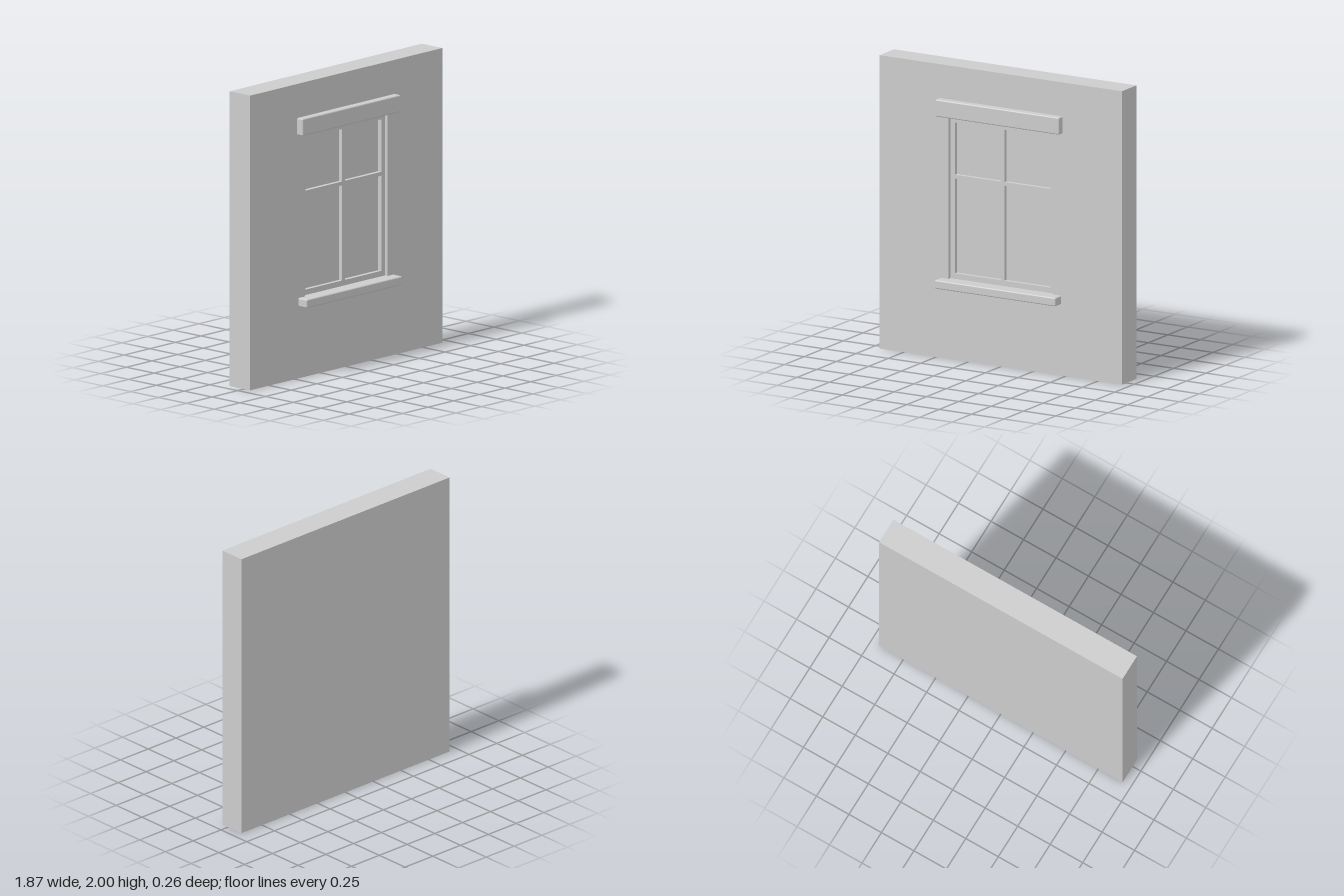
import * as THREE from 'three';
import { RoundedBoxGeometry } from 'three/addons/geometries/RoundedBoxGeometry.js';

export function createModel() {
  const group = new THREE.Group();
  const plaster = new THREE.MeshStandardMaterial({ color: 0xcccccc });
  plaster.name = 'plaster grey';

  const add = (name, geometry, x = 0, y = 0, z = 0) => {
    const mesh = new THREE.Mesh(geometry, plaster);
    mesh.name = name;
    mesh.position.set(x, y, z);
    group.add(mesh);
  };

  // Rectangle outline from two corners, for shapes and holes
  const rect = (Type, [x0, y0, x1, y1]) => new Type([
    new THREE.Vector2(x0, y0), new THREE.Vector2(x1, y0),
    new THREE.Vector2(x1, y1), new THREE.Vector2(x0, y1),
  ]);
  const panel = (outline, holes, depth) => {
    const shape = rect(THREE.Shape, outline);
    shape.holes = holes.map((h) => rect(THREE.Path, h));
    return new THREE.ExtrudeGeometry(shape, { depth, bevelEnabled: false });
  };

  const back = -0.13, glassZ = 0, front = 0.055;
  const opening = [-0.404, 0.54, 0.404, 1.655];

  // Solid back of the wall, and the front layer cut out around the window
  add('wallBack', new THREE.BoxGeometry(1.874, 2, glassZ - back), 0, 1, (glassZ + back) / 2);
  add('wallFront', panel([-0.937, 0, 0.937, 2], [opening], front - glassZ), 0, 0, glassZ);

  // Four panes: short upper pair, tall lower pair
  const panes = [];
  for (const [y0, y1] of [[0.582, 1.228], [1.254, 1.61]]) {
    panes.push([-0.369, y0, -0.013, y1], [0.013, y0, 0.369, y1]);
  }
  add('windowFrame', panel(opening, panes, 0.03), 0, 0, glassZ);
  panes.forEach(([x0, y0, x1, y1]) => add('pane',
    new THREE.BoxGeometry(x1 - x0, y1 - y0, 0.004), (x0 + x1) / 2, (y0 + y1) / 2, glassZ));

  // Rounded lintel and sill, set into the wall
  const ledge = (name, width, y0, y1, z1) => {
    const z0 = 0.02;
    add(name, new RoundedBoxGeometry(width, y1 - y0, z1 - z0, 2, 0.009),
      0, (y0 + y1) / 2, (z0 + z1) / 2);
  };
  ledge('lintel', 0.958, 1.652, 1.769, 0.104);
  ledge('sill', 0.934, 0.486, 0.545, 0.13);

  return group;
}
